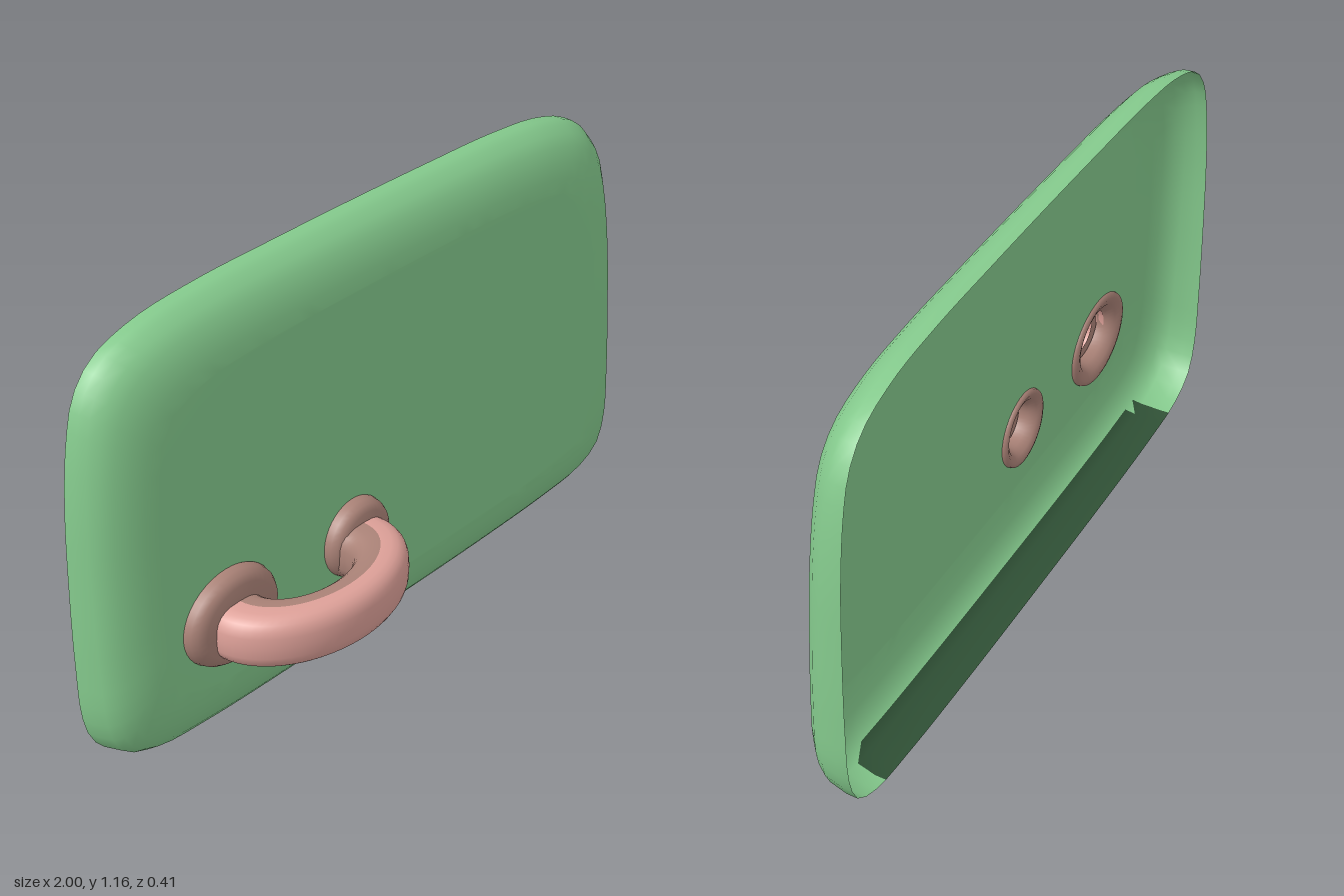
import * as THREE from 'three';
import { mergeGeometries, mergeVertices } from 'three/addons/utils/BufferGeometryUtils.js';

// Skin between successive closed loops of Vector3 (all the same length)
function loft(loops) {
  const n = loops[0].length, index = [];
  for (let i = 0; i < loops.length - 1; i++) {
    for (let j = 0; j < n; j++) {
      const k = (j + 1) % n;
      const a = i * n + j, b = i * n + k, c = a + n, d = b + n;
      index.push(a, b, c, b, d, c);
    }
  }
  const geo = new THREE.BufferGeometry().setFromPoints(loops.flat());
  geo.setIndex(index);
  return geo;
}

// Give the triangles whose centre passes the test the second material
function paint(geo, test) {
  const pos = geo.attributes.position, index = geo.index.array, sets = [[], []];
  for (let i = 0; i < index.length; i += 3) {
    const tri = [index[i], index[i + 1], index[i + 2]];
    const centre = new THREE.Vector3();
    for (const v of tri) centre.add(new THREE.Vector3().fromBufferAttribute(pos, v));
    sets[test(centre.divideScalar(3)) ? 1 : 0].push(...tri);
  }
  geo.setIndex(sets.flat());
  geo.addGroup(0, sets[0].length, 0);
  geo.addGroup(sets[0].length, sets[1].length, 1);
  return geo;
}

// The two collars where the handle meets the panel
const FEET = [
  { name: 'rightFoot', x: -0.637, y: 0.345, rx: 0.155, ry: 0.127 },
  { name: 'leftFoot', x: -0.18, y: 0.343, rx: 0.112, ry: 0.108 },
];

// Thin pan-shaped shell, open at the back, pierced behind each foot
function panelGeometry() {
  const half = [
    [0, 0.001], [0.4, 0.003], [0.7, 0.012], [0.87, 0.03], [0.955, 0.075], [0.99, 0.16],
    [1, 0.32], [1, 0.55], [0.993, 0.75], [0.972, 0.92], [0.942, 1.02], [0.88, 1.088],
    [0.75, 1.133], [0.55, 1.153], [0.3, 1.158], [0, 1.16],
  ];
  const mirrored = half.slice(1, -1).reverse().map(([x, y]) => [-x, y]);
  const curve = new THREE.CatmullRomCurve3(
    [...half, ...mirrored].map(([x, y]) => new THREE.Vector3(x, y, 0)), true);
  const outline = curve.getSpacedPoints(120).slice(0, -1);

  // inset from the outline and depth of each ring, rim to front
  const profile = [[0, -0.205], [0.001, -0.175], [0.01, -0.14], [0.025, -0.115],
    [0.05, -0.093], [0.085, -0.077], [0.12, -0.067], [0.155, -0.062]];
  const lean = (y) => -0.028 * (y - 0.58);
  const loops = profile.map(([d, z], i) => outline.map((p) => {
    const y = 0.58 + (p.y - 0.58) * (1 - d / 0.58);
    return new THREE.Vector3(p.x * (1 - d), y, z + (i > 1 ? lean(y) : 0));
  }));
  const rim = loft(loops);

  const shape = new THREE.Shape(loops.at(-1).map((p) => new THREE.Vector2(p.x, p.y)));
  for (const f of FEET) {
    const hole = new THREE.Path();
    hole.absellipse(f.x, f.y, f.rx * 0.94, f.ry * 0.94, 0, Math.PI * 2, true);
    shape.holes.push(hole);
  }
  const face = new THREE.ShapeGeometry(shape, 16);
  face.deleteAttribute('normal');
  face.deleteAttribute('uv');
  const pos = face.attributes.position;
  for (let i = 0; i < pos.count; i++) pos.setZ(i, -0.062 + lean(pos.getY(i)));

  const geo = mergeVertices(mergeGeometries([rim, face]), 1e-4);
  geo.computeVertexNormals();
  // dark strip along the underside
  return paint(geo, (c) => Math.abs(c.x) < 0.83 && c.y < 0.035 && c.z < -0.105);
}

// Hollow arch with a rounded-square section, slimmer at its middle
function archGeometry() {
  const round = (v) => Math.sign(v) * Math.pow(Math.abs(v), 0.72);
  const section = (inner, outer) => Array.from({ length: 24 }, (_, j) => {
    const t = (j / 24) * Math.PI * 2;
    const p = inner.clone().lerp(outer, 0.5 + 0.5 * round(Math.cos(t)));
    p.y = 0.331 + 0.073 * round(Math.sin(t));
    return p;
  });
  const at = (a, rx, rz, z0) =>
    new THREE.Vector3(-0.418 + rx * Math.cos(a), 0, z0 + rz * Math.sin(a));
  const loops = [];
  for (let i = 0; i <= 32; i++) {
    const a = (i / 32) * Math.PI;
    loops.push(section(at(a, 0.143, 0.085, -0.005), at(a, 0.308, 0.215, -0.01)));
  }
  const sink = (loop) => loop.map((p) => p.clone().setZ(-0.035));
  const geo = loft([sink(loops[0]), ...loops, sink(loops.at(-1))]);
  geo.computeVertexNormals();
  // darker inner side of the arch
  return paint(geo, (c) => Math.hypot((c.x + 0.418) / 0.225, (c.z + 0.008) / 0.15) < 0.97);
}

export function createModel() {
  const material = (name, color) => {
    const mat = new THREE.MeshStandardMaterial({ color, side: THREE.DoubleSide });
    mat.name = name;
    return mat;
  };
  const green = material('panel green', 0x84c98c);
  const darkGreen = material('underside dark green', 0x2f5035);
  const pink = material('handle pink', 0xdda098);
  const brown = material('collar brown', 0xaa8277);

  const model = new THREE.Group();
  model.name = 'panelWithHandle';
  const add = (parent, name, geo, mat) => {
    const mesh = new THREE.Mesh(geo, mat);
    mesh.name = name;
    parent.add(mesh);
  };

  add(model, 'panel', panelGeometry(), [green, darkGreen]);

  const handle = new THREE.Group();
  handle.name = 'handle';
  model.add(handle);
  add(handle, 'handleArch', archGeometry(), [pink, brown]);

  // Rounded collars, open through the middle
  const collar = [[0.56, -0.015], [0.6, -0.04], [0.72, -0.06], [0.88, -0.068], [0.98, -0.065],
    [1, -0.055], [0.97, -0.038], [0.9, -0.024], [0.76, -0.013], [0.42, -0.01]]
    .map(([r, z]) => new THREE.Vector2(r, z));
  for (const f of FEET) {
    const geo = new THREE.LatheGeometry(collar, 40);
    geo.rotateX(Math.PI / 2);
    geo.scale(f.rx, f.ry, 1);
    geo.translate(f.x, f.y, 0);
    add(handle, f.name, geo, brown);
  }
  return model;
}
